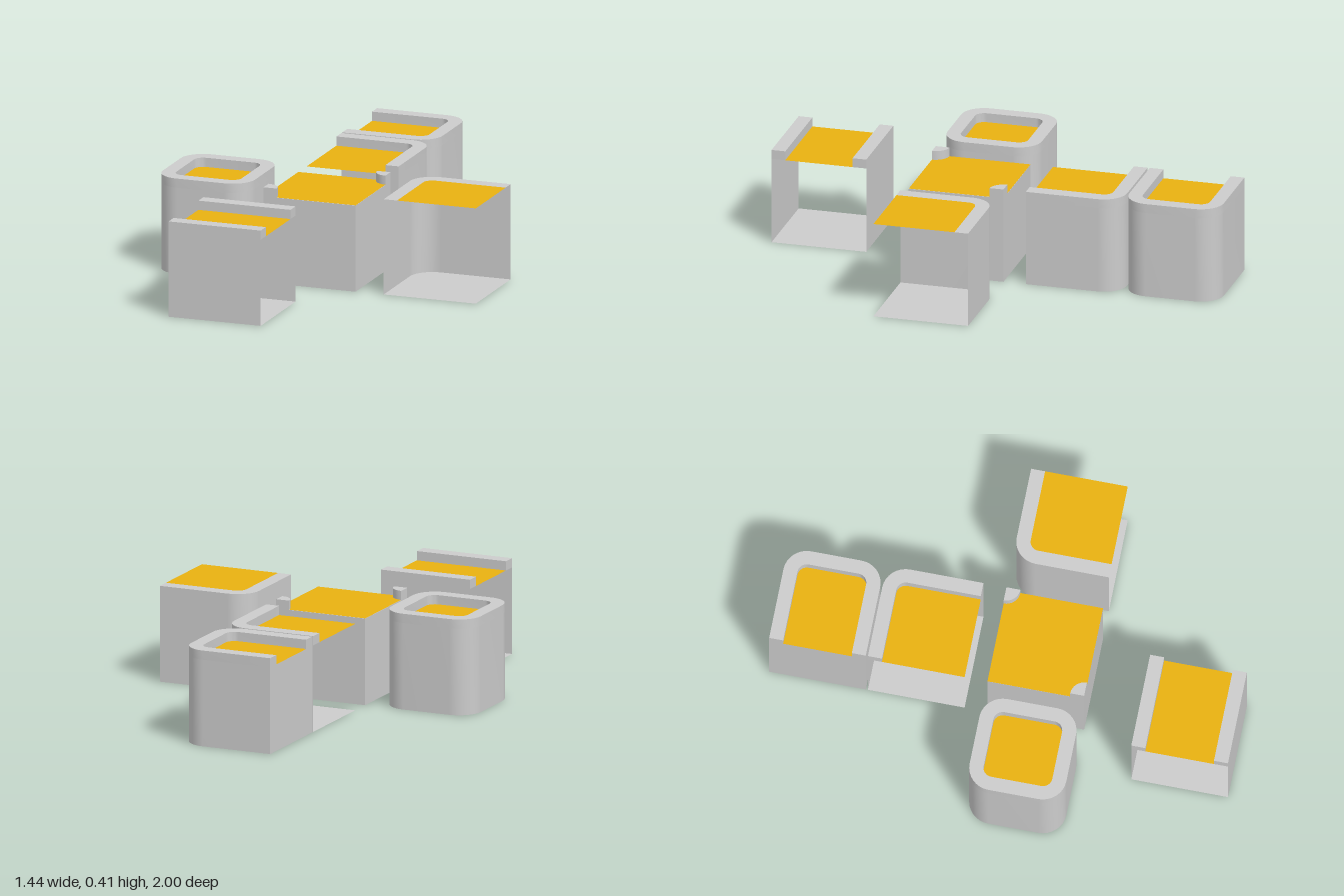
import * as THREE from 'three';
import { toCreasedNormals } from 'three/addons/utils/BufferGeometryUtils.js';

const H = 0.207;       // half tile width
const TOP = 0.415;     // rim height
const FLOOR = 0.375;   // recessed floor height
const INSET = 0.06;    // rim width
const R_OUT = 0.1, R_IN = 0.04;

const grey = new THREE.MeshStandardMaterial({ color: 0xcccccc, side: THREE.DoubleSide });
const gold = new THREE.MeshStandardMaterial({ color: 0xe8b111, side: THREE.DoubleSide });

// Clockwise polyline of unit corners -> points, moved inwards and rounded at its bends
function outline(corners, inset, r) {
  const v = corners.map(([x, y]) => new THREE.Vector2(x, y));
  const dirs = v.slice(1).map((p, i) => p.clone().sub(v[i]).normalize());
  const out = [];
  v.forEach((unit, i) => {
    const a = dirs[i - 1], b = dirs[i];
    const p = unit.clone().multiplyScalar(H);
    for (const d of a && b && a.equals(b) ? [a] : [a, b]) {
      if (d) p.add(new THREE.Vector2(d.y, -d.x).multiplyScalar(inset));
    }
    if (!a || !b) { out.push(p); return; }
    const c = p.clone().addScaledVector(a, -r).addScaledVector(b, r);
    for (let k = 0; k <= 8; k++) {
      const t = (k / 8) * Math.PI / 2;
      out.push(c.clone().addScaledVector(b, -r * Math.cos(t)).addScaledVector(a, r * Math.sin(t)));
    }
  });
  return out;
}

function add(group, name, geometry, material, y = 0) {
  const mesh = new THREE.Mesh(geometry, material);
  mesh.name = name;
  mesh.position.y = y;
  group.add(mesh);
}

// Horizontal sheet
const sheet = (pts) => new THREE.ShapeGeometry(new THREE.Shape(pts)).rotateX(-Math.PI / 2);

// Raised solid with smooth bends
const slab = (pts, depth) => toCreasedNormals(
  new THREE.ExtrudeGeometry(new THREE.Shape(pts), { depth, bevelEnabled: false }).rotateX(-Math.PI / 2), 0.5);

// Upright sheet following a path
function wall(pts, height) {
  const geo = new THREE.PlaneGeometry(1, 1, pts.length - 1, 1);
  const pos = geo.attributes.position;
  for (let i = 0; i < pos.count; i++) {
    const p = pts[i % pts.length];
    pos.setXYZ(i, p.x, i < pts.length ? height : 0, -p.y);
  }
  geo.computeVertexNormals();
  return geo;
}

// Block with walls and rim along its paths, open on the other sides
function makeTile({ name, x, z, paths, rest = [], flat = false, closed = [] }) {
  const g = new THREE.Group();
  g.name = name;
  g.position.set(x, 0, z);
  const corners = rest.map(([cx, cy]) => new THREE.Vector2(cx * H, cy * H));
  const base = [], floor = [];
  for (const path of paths) {
    const outer = outline(path, 0, R_OUT), inner = outline(path, INSET, R_IN);
    base.push(...outer);
    floor.push(...inner);
    const ring = [...outer, ...inner.slice().reverse()];
    add(g, 'wall', wall(outer, flat ? TOP : FLOOR), grey);
    if (flat) add(g, 'border', sheet(ring), grey, TOP);
    else add(g, 'rim', slab(ring, TOP - FLOOR), grey, FLOOR);
  }
  for (const path of closed) add(g, 'endWall', wall(outline(path, 0, 0), FLOOR), grey);
  add(g, 'base', sheet([...base, ...corners]), grey);
  add(g, 'floor', sheet([...floor, ...corners]), gold, flat ? TOP : FLOOR);
  return g;
}

// Full block with a quarter-round post on two opposite corners
function makeCentre(x, z) {
  const g = new THREE.Group();
  g.name = 'innerCornerBlock';
  g.position.set(x, 0, z);
  add(g, 'body', new THREE.BoxGeometry(2 * H, FLOOR, 2 * H), grey, FLOOR / 2);
  add(g, 'floor', new THREE.PlaneGeometry(2 * H, 2 * H).rotateX(-Math.PI / 2), gold, FLOOR + 0.001);
  for (const s of [1, -1]) {
    const pts = [new THREE.Vector2(s * H, s * H)];
    for (let k = 0; k <= 8; k++) {
      const t = Math.PI + (k / 8) * Math.PI / 2;
      pts.push(new THREE.Vector2(s * (H + INSET * Math.cos(t)), s * (H + INSET * Math.sin(t))));
    }
    add(g, 'cornerPost', slab(pts, TOP - FLOOR), grey, FLOOR);
  }
  return g;
}

export function createModel() {
  const model = new THREE.Group();
  model.name = 'platformTiles';
  const BL = [-1, 1], BR = [1, 1], FR = [1, -1], FL = [-1, -1];
  const tiles = [
    { name: 'singleTile', x: -0.515, z: 0.142, paths: [[[0, 1], BR, FR, FL, BL, [0, 1]]] },
    { name: 'cornerTile', x: -0.025, z: -0.37, paths: [[BL, BR, FR]], rest: [FL] },
    { name: 'endTile', x: -0.025, z: -0.793, paths: [[BL, BR, FR, FL]], closed: [[FL, BL]] },
    { name: 'flushCornerTile', x: 0.515, z: 0.142, paths: [[FL, BL, BR]], rest: [FR], flat: true },
    { name: 'straightTile', x: -0.205, z: 0.793, paths: [[BL, BR], [FR, FL]] },
  ];
  for (const t of tiles) model.add(makeTile(t));
  model.add(makeCentre(-0.025, 0.142));
  return model;
}
